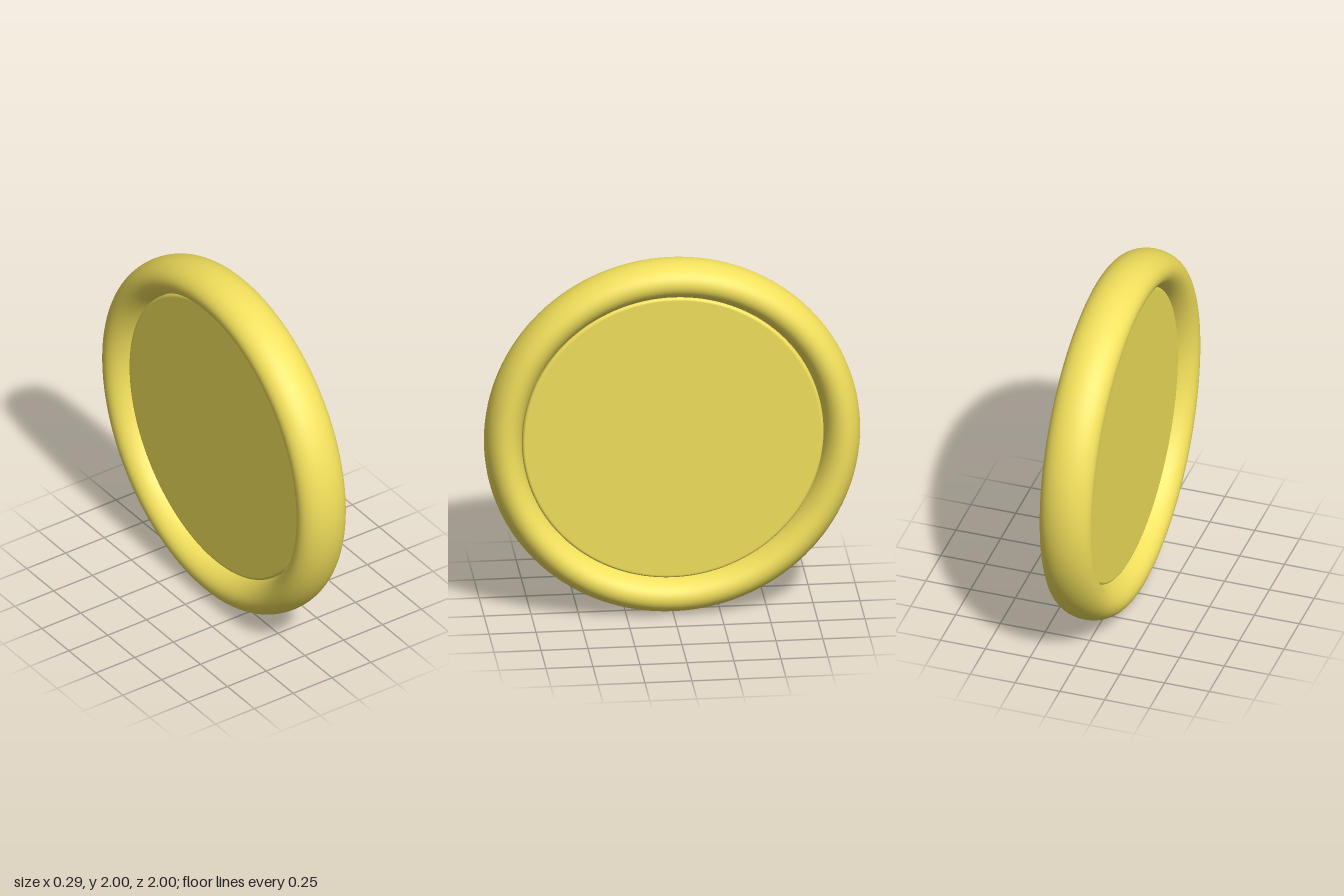
import * as THREE from 'three';

export function createModel() {
  const model = new THREE.Group();
  model.name = 'coin';
  const gold = new THREE.MeshStandardMaterial({ color: 0xf2e05c });

  // Rim: a ring of oval section, wider along the coin's axis (x)
  const rimGeometry = new THREE.TorusGeometry(0.9, 0.1, 40, 128);
  rimGeometry.scale(1, 1, 1.43);
  rimGeometry.rotateY(Math.PI / 2);
  const rim = new THREE.Mesh(rimGeometry, gold);
  rim.name = 'rim';

  // Disc: flat faces sunk inside the rim, with a small rounded edge
  const radius = 0.802, half = 0.058, round = 0.015, steps = 5;
  const profile = [new THREE.Vector2(0, -half), new THREE.Vector2(radius - round - 0.004, -half)];
  for (const side of [-1, 1]) {
    for (let i = 0; i <= steps; i++) {
      const t = (i / steps) * Math.PI / 2;
      const a = side < 0 ? t - Math.PI / 2 : t;
      profile.push(new THREE.Vector2(
        radius - round + round * Math.cos(a),
        side * (half - round) + round * Math.sin(a)));
    }
  }
  profile.push(new THREE.Vector2(radius - round - 0.004, half), new THREE.Vector2(0, half));
  const discGeometry = new THREE.LatheGeometry(profile, 128);
  discGeometry.rotateZ(Math.PI / 2);
  const disc = new THREE.Mesh(discGeometry, gold);
  disc.name = 'disc';

  model.add(rim, disc);
  // Stand the coin on its edge
  for (const part of model.children) part.position.y = 1;
  return model;
}
